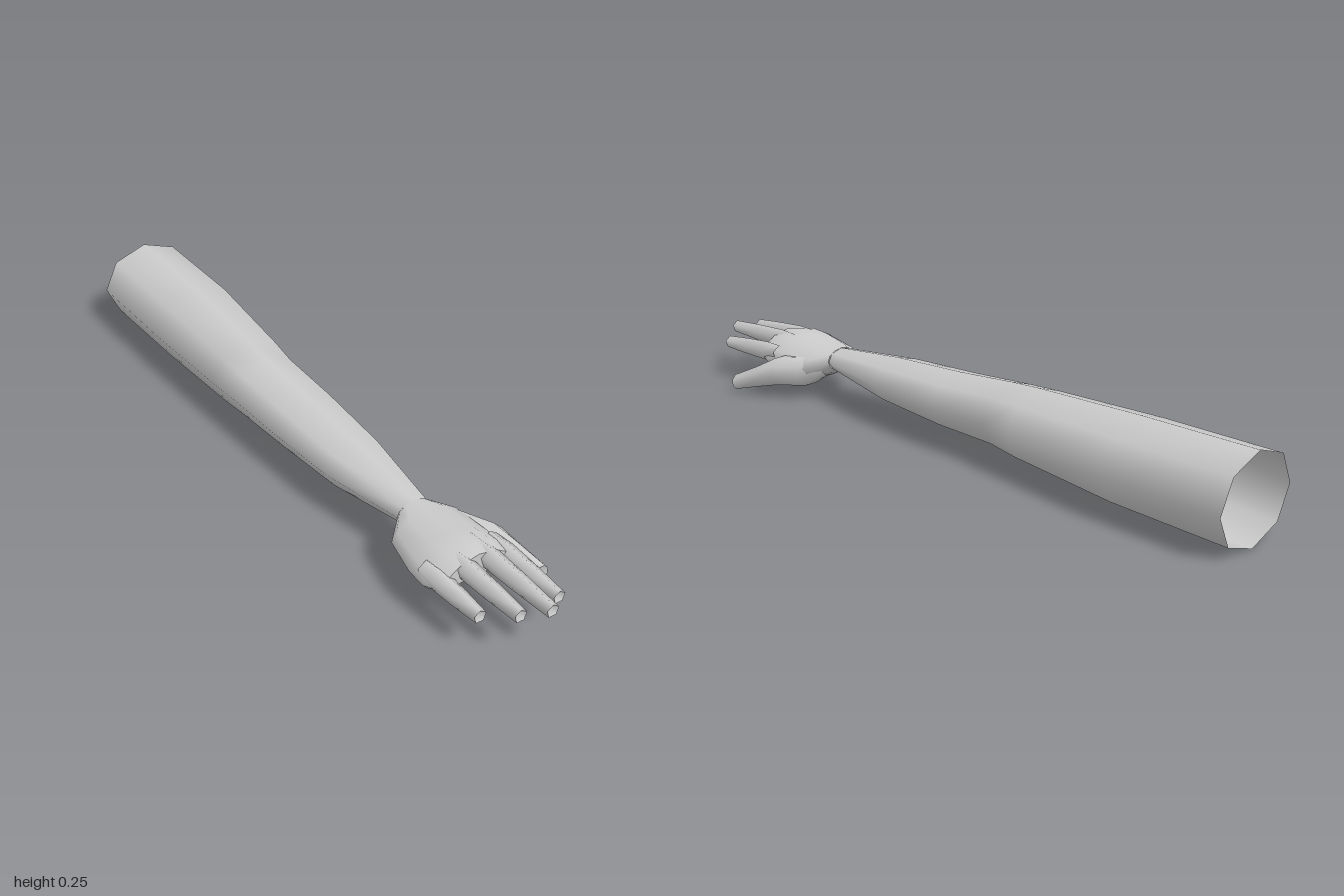
import * as THREE from 'three';

const material = new THREE.MeshStandardMaterial({ color: 0xcccccc, side: THREE.DoubleSide });

// Skin over rings [z, centreX, centreY, radiusX, radiusY, sag]; sag drops the sides into an arch.
// A number for inset closes the front end with a fan whose middle is pushed back by that much.
function loft(name, sides, rings, { turn = 0, inset = null } = {}) {
  const pos = [], index = [];
  const addRing = ([z, cx, cy, rx, ry, sag = 0]) => {
    for (let i = 0; i < sides; i++) {
      const a = turn + (i / sides) * Math.PI * 2, c = Math.cos(a);
      pos.push(cx + rx * c, cy + ry * Math.sin(a) - sag * c * c, z);
    }
  };
  rings.forEach(addRing);
  for (let j = 0; j < rings.length - 1; j++) {
    for (let i = 0; i < sides; i++) {
      const k = (i + 1) % sides;
      const a = j * sides + i, b = j * sides + k, c = a + sides, d = b + sides;
      index.push(a, b, c, b, d, c);
    }
  }
  if (inset !== null) {
    const last = rings[rings.length - 1];
    const start = rings.length * sides, mid = start + sides;
    addRing(last);
    pos.push(last[1], last[2] - (last[5] || 0) / 2, last[0] - inset);
    for (let i = 0; i < sides; i++) index.push(mid, start + i, start + ((i + 1) % sides));
  }
  const geometry = new THREE.BufferGeometry();
  geometry.setAttribute('position', new THREE.Float32BufferAttribute(pos, 3));
  geometry.setIndex(index);
  geometry.computeVertexNormals();
  const mesh = new THREE.Mesh(geometry, material);
  mesh.name = name;
  return mesh;
}

// Ring from its left, right, bottom and top limits
const box = (z, x0, x1, y0, y1) => [z, (x0 + x1) / 2, (y0 + y1) / 2, (x1 - x0) / 2, (y1 - y0) / 2];

export function createModel() {
  const model = new THREE.Group();
  model.name = 'arm';

  // Upper arm, elbow and forearm: an eight-sided sleeve, open at the shoulder
  model.add(loft('armSleeve', 8, [
    box(-1, -0.18, 0.117, 0.003, 0.258),
    box(-0.65, -0.18, 0.117, 0.012, 0.253),
    box(-0.3, -0.168, 0.083, 0.03, 0.236),
    box(-0.2, -0.163, 0.07, 0.041, 0.228),
    box(0, -0.153, 0.072, 0.048, 0.212),
    box(0.25, -0.138, 0.058, 0.064, 0.197),
    box(0.51, -0.09, 0.015, 0.1, 0.17),
  ]));

  // Palm and back of the hand, arched across the knuckles
  model.add(loft('palm', 12, [
    [0.51, -0.037, 0.135, 0.053, 0.035, 0],
    [0.56, -0.035, 0.12, 0.108, 0.05, 0.008],
    [0.67, -0.044, 0.13, 0.126, 0.052, 0.02],
    [0.73, -0.042, 0.138, 0.13, 0.049, 0.03],
    [0.775, -0.04, 0.146, 0.113, 0.032, 0.03],
  ], { inset: 0 }));

  // Fingers: [name, base x, base y, tip x, tip y, tip z]
  const fingers = [
    ['littleFinger', -0.142, 0.128, -0.133, 0.118, 0.9],
    ['ringFinger', -0.079, 0.153, -0.071, 0.142, 0.97],
    ['middleFinger', -0.006, 0.154, 0, 0.146, 1],
    ['indexFinger', 0.058, 0.13, 0.068, 0.118, 0.95],
  ];
  for (const [name, bx, by, tx, ty, tz] of fingers) {
    const at = (t, r) => [
      THREE.MathUtils.lerp(0.7, tz, t), THREE.MathUtils.lerp(bx, tx, t),
      THREE.MathUtils.lerp(by, ty, t), r, r,
    ];
    model.add(loft(name, 5, [at(0, 0.026), at(0.22, 0.03), at(0.6, 0.026), at(1, 0.019)],
      { turn: Math.PI / 2, inset: 0.015 }));
  }

  // Thumb with the ball of the hand, splayed outward and down
  model.add(loft('thumb', 8, [
    [0.53, 0.0, 0.115, 0.03, 0.03],
    [0.58, 0.035, 0.097, 0.055, 0.05],
    [0.66, 0.084, 0.09, 0.052, 0.048],
    [0.72, 0.122, 0.066, 0.034, 0.036],
    [0.795, 0.157, 0.038, 0.022, 0.026],
  ], { turn: Math.PI / 8, inset: 0.01 }));

  return model;
}
